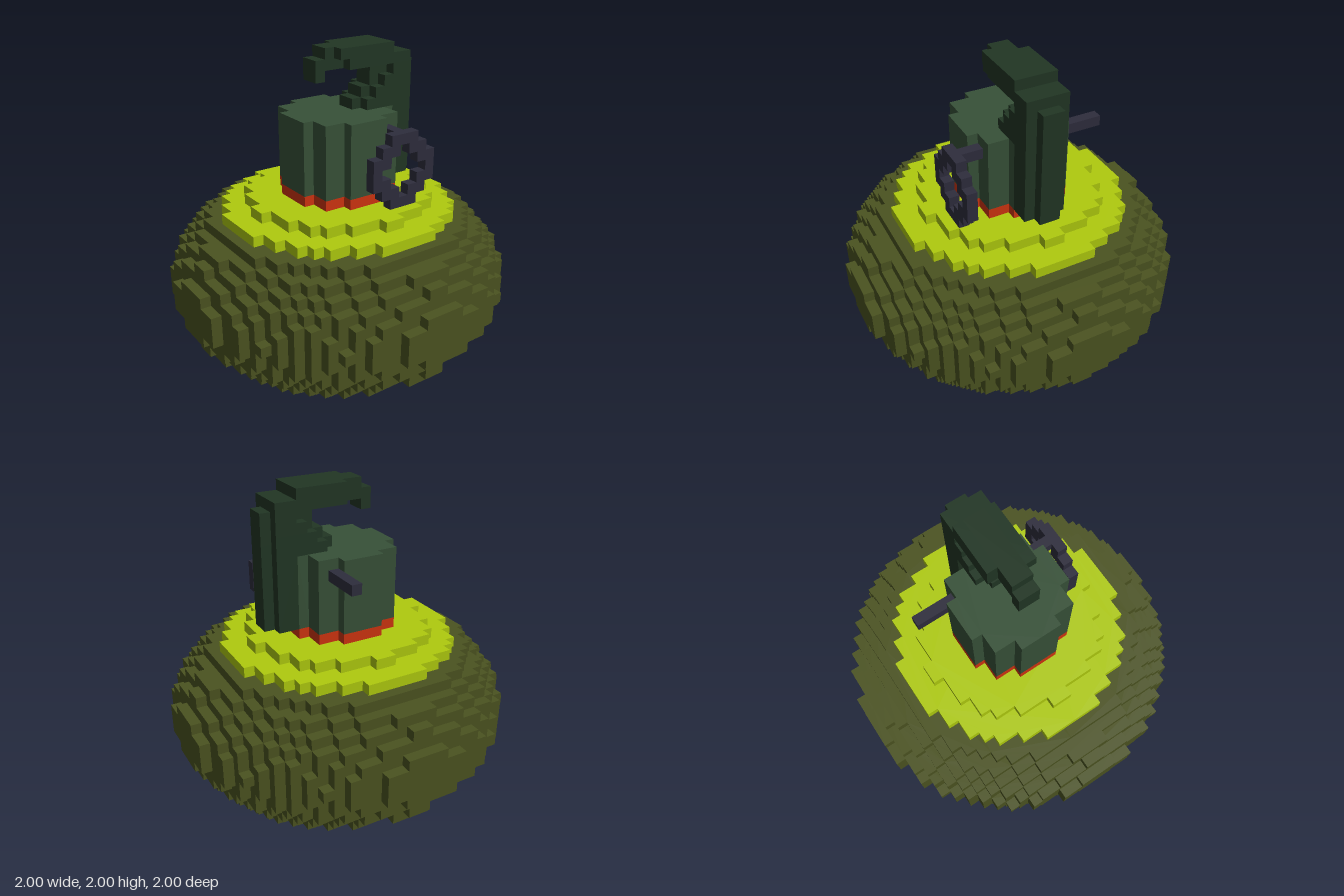
import * as THREE from 'three';
import { mergeGeometries } from 'three/addons/utils/BufferGeometryUtils.js';

const V = 1 / 16; // edge of one block

function material(name, color) {
  const m = new THREE.MeshStandardMaterial({ color });
  m.name = name;
  return m;
}

// Stepped round slab: all blocks whose centres lie within radius² r2 (block units)
function disc(r2, y, h) {
  const half = (z) => {
    let n = 0;
    while ((n + 0.5) ** 2 + (z + 0.5) ** 2 <= r2) n++;
    return n;
  };
  let rows = 0;
  while ((rows + 0.5) ** 2 + 0.25 <= r2) rows++;
  const right = [];
  for (let z = -rows; z < rows; z++) {
    const w = half(z);
    right.push([w, z], [w, z + 1]);
  }
  const left = right.map(([x, z]) => [-x, z]).reverse();
  const outline = [...right, ...left]
    .filter(([x, z], i, all) => {
      const p = all[(i + all.length - 1) % all.length];
      return p[0] !== x || p[1] !== z;
    })
    .map(([x, z]) => new THREE.Vector2(x * V, z * V));
  const g = new THREE.ExtrudeGeometry(new THREE.Shape(outline), { depth: h * V, bevelEnabled: false });
  g.rotateX(-Math.PI / 2);
  g.translate(0, y * V, 0);
  return g;
}

// Box given by its limits in block units
function block(x0, x1, y0, y1, z0, z1) {
  const g = new THREE.BoxGeometry((x1 - x0) * V, (y1 - y0) * V, (z1 - z0) * V);
  g.translate((x0 + x1) / 2 * V, (y0 + y1) / 2 * V, (z0 + z1) / 2 * V);
  return g;
}

export function createModel() {
  const model = new THREE.Group();
  model.name = 'grenade';
  const add = (name, parts, mat) => {
    const mesh = new THREE.Mesh(mergeGeometries(parts), mat);
    mesh.name = name;
    model.add(mesh);
  };

  const olive = material('olive', 0x4b5320);
  const lime = material('lime', 0xafcb0e);
  const red = material('red', 0xcf3410);
  const green = material('green', 0x375138);
  const darkGreen = material('dark green', 0x213624);
  const steel = material('dark steel', 0x2e2d3d);

  // Flattened ellipsoid of stepped layers: olive body, lime shoulder, red collar
  const layer = (k) => disc(256 * (1 - ((k - 9) / 9.5) ** 2), k, 1);
  const layers = Array.from({ length: 19 }, (_, k) => layer(k));
  add('body', layers.slice(0, 16), olive);
  add('shoulderBand', layers.slice(16, 18), lime);
  add('collar', layers.slice(18), red);

  // Fuse housing
  add('fuseHousing', [disc(25, 19, 7)], green);

  // Lever: central rib and wider cheeks, as x and y limits per step
  const rib = [
    [-2, 5, 31, 32], [-3, 7, 30, 31], [-3, -2, 29, 30], [3, 8, 28, 30],
    [2, 8, 27, 28], [1, 8, 26, 27], [5, 8, 19, 26],
  ];
  const cheeks = [
    [0, 5, 31, 32], [0, 7, 30, 31], [5, 7, 29, 30], [4, 7, 28, 29],
    [3, 7, 27, 28], [2, 7, 26, 27], [5, 7, 19, 26],
  ];
  add('lever', [
    ...rib.map((r) => block(...r, -1, 1)),
    ...cheeks.map((r) => block(...r, -2, 2)),
    block(-1, 0, 31, 32, 1, 2),
  ], darkGreen);

  // Safety pin through the housing
  add('pin', [block(2, 3, 24, 25, -8, 6)], steel);

  // Pull ring in front, a stepped circle of blocks
  const ring = [];
  for (let i = -3; i <= 3; i++) {
    for (let j = -3; j <= 3; j++) {
      const d = i * i + j * j;
      if (d > 4 && d <= 10) ring.push(block(2 + i, 3 + i, 21 + j, 22 + j, 6, 7));
    }
  }
  add('pullRing', ring, steel);

  return model;
}
